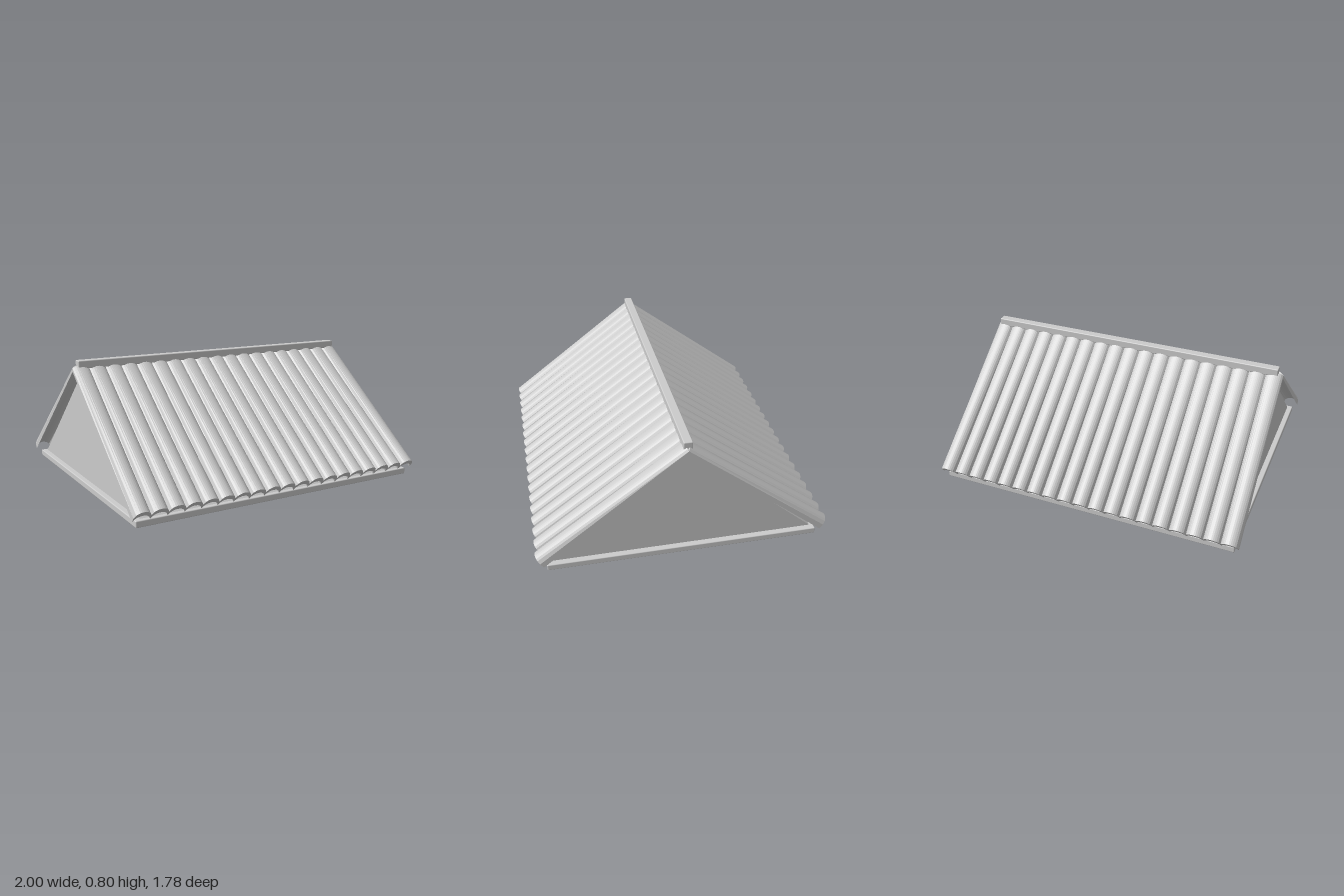
import * as THREE from 'three';
import { RoundedBoxGeometry } from 'three/addons/geometries/RoundedBoxGeometry.js';

const TILES = 19, STEPS = 10, PITCH = 2 / TILES;
const material = new THREE.MeshStandardMaterial({ color: 0xcccccc });

// Height of a circular arch of span PITCH and rise h, t runs from -1 to 1
function arch(t, h) {
  const r = (PITCH * PITCH / 4 + h * h) / (2 * h);
  const x = t * PITCH / 2;
  return Math.sqrt(Math.max(0, r * r - x * x)) - (r - h);
}

// Tile cross-section: outer arch left to right, inner arch back again
function tileSection() {
  const pts = [];
  for (let i = 0; i <= STEPS; i++) {
    const t = -1 + 2 * i / STEPS;
    pts.push([t * PITCH / 2, arch(t, 0.042) - 0.042]);
  }
  for (let i = STEPS; i >= 0; i--) {
    const t = -1 + 2 * i / STEPS;
    pts.push([t * PITCH / 2, arch(t, 0.044) - 0.077]);
  }
  return pts;
}

// One tapering tile swept from the eave to the ridge
function tileGeometry() {
  const section = tileSection(), n = section.length;
  const eave = new THREE.Vector2(0.89, 0.11), top = new THREE.Vector2(0.012, 0.772);
  const dir = top.clone().sub(eave).normalize();
  const up = new THREE.Vector2(dir.y, -dir.x);
  const ends = [[eave, 1], [top, 0.5]].map(([o, s]) => section.map(([x, h]) =>
    [x, o.y + up.y * h * s, o.x + up.x * h * s]));
  const pos = [];
  const quad = (a, b, c, d) => pos.push(...a, ...b, ...c, ...a, ...c, ...d);
  for (let i = 0; i < n; i++) {
    const j = (i + 1) % n;
    quad(ends[0][i], ends[0][j], ends[1][j], ends[1][i]);
  }
  // End faces close the strip between outer and inner arch
  for (let i = 0; i < STEPS; i++) {
    const a = n - 1 - i;
    quad(ends[0][i], ends[0][a], ends[0][a - 1], ends[0][i + 1]);
    quad(ends[1][i], ends[1][i + 1], ends[1][a - 1], ends[1][a]);
  }
  const g = new THREE.BufferGeometry();
  g.setAttribute('position', new THREE.Float32BufferAttribute(pos, 3));
  g.computeVertexNormals();
  return g;
}

export function createModel() {
  const model = new THREE.Group();
  const add = (parent, name, geometry, x = 0, y = 0, z = 0) => {
    const m = new THREE.Mesh(geometry, material);
    m.name = name;
    m.position.set(x, y, z);
    parent.add(m);
    return m;
  };

  // Flat ceiling slab and ridge cap
  add(model, 'baseSlab', new RoundedBoxGeometry(1.95, 0.04, 1.65, 2, 0.006), 0.005, 0.02, 0);
  add(model, 'ridgeCap', new RoundedBoxGeometry(1.95, 0.05, 0.054, 2, 0.006), 0.005, 0.775, 0);

  // Triangular attic body, its ends form the recessed gables
  const tri = new THREE.Shape([
    new THREE.Vector2(-0.81, 0.03), new THREE.Vector2(0.81, 0.03), new THREE.Vector2(0, 0.735)]);
  const body = new THREE.ExtrudeGeometry(tri, { depth: 1.88, bevelEnabled: false });
  body.translate(0, 0, -0.94).rotateY(Math.PI / 2);
  add(model, 'gableBody', body, 0.005);

  // Two mirrored slopes of tiles
  const tile = tileGeometry();
  for (const name of ['frontSlope', 'backSlope']) {
    const slope = new THREE.Group();
    slope.name = name;
    if (name === 'backSlope') slope.rotation.y = Math.PI;
    for (let i = 0; i < TILES; i++) add(slope, 'roofTile', tile, -1 + (i + 0.5) * PITCH);
    model.add(slope);
  }
  return model;
}
